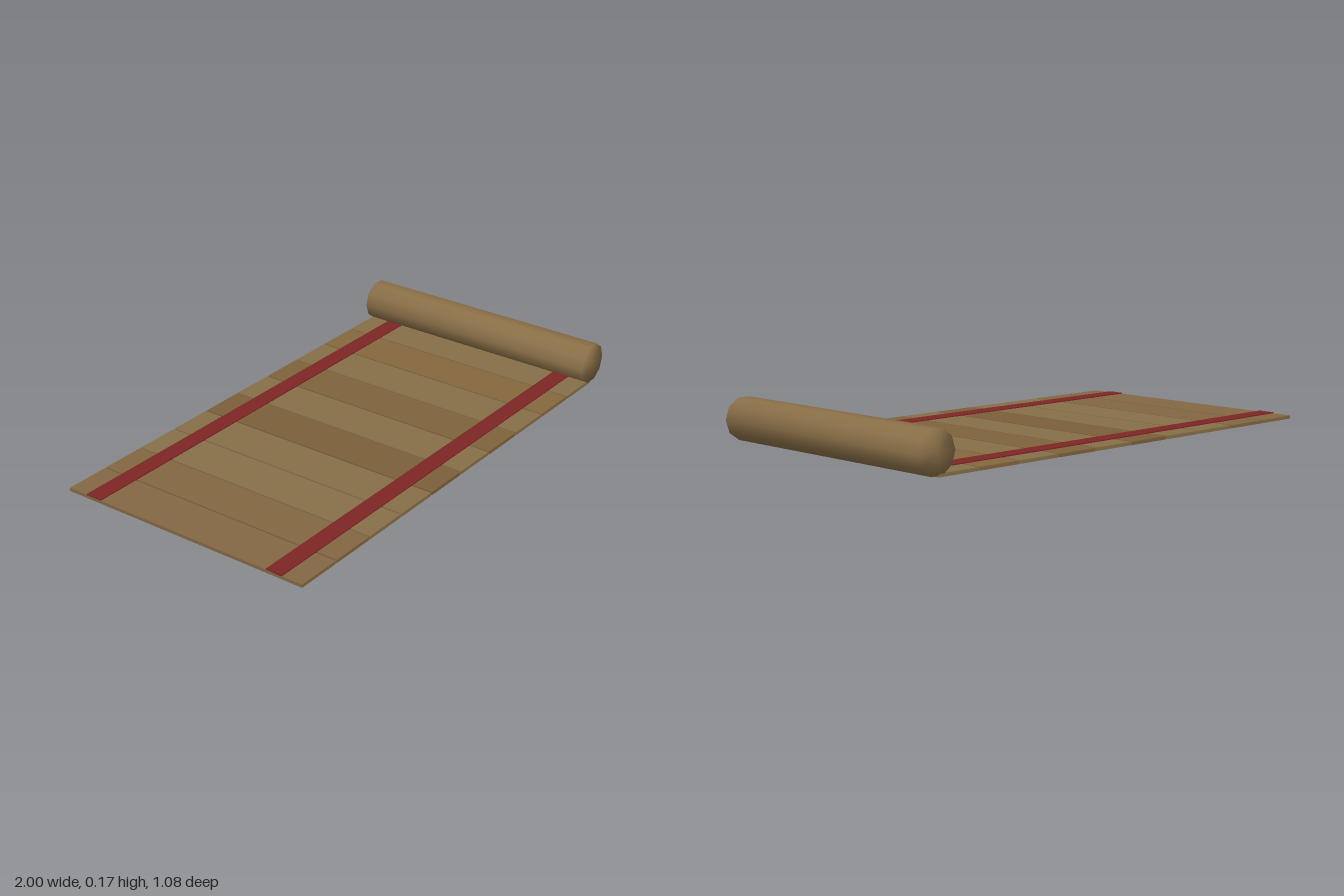
import * as THREE from 'three';
import { mergeVertices } from 'three/addons/utils/BufferGeometryUtils.js';

const DEPTH = 1.08;
const PITCH = 0.1915;
const SLAT_WIDTH = 0.185;

function paint(color) {
  return new THREE.MeshStandardMaterial({ color });
}

function addBox(parent, name, size, position, material) {
  const mesh = new THREE.Mesh(new THREE.BoxGeometry(...size), material);
  mesh.position.set(...position);
  mesh.name = name;
  parent.add(mesh);
}

export function createModel() {
  const model = new THREE.Group();
  model.name = 'slatScroll';

  // Flat slats with narrow gaps, in slightly varied wood tones
  const slats = new THREE.Group();
  slats.name = 'slats';
  const tones = [0x846844, 0x826641, 0x867049, 0x866f48, 0x7b5f39,
    0x866f48, 0x7f623c, 0x866f48, 0x84673f, 0x866f48];
  tones.forEach((tone, i) => {
    const x = -1 + i * PITCH + SLAT_WIDTH / 2;
    addBox(slats, `slat${i + 1}`, [SLAT_WIDTH, 0.013, DEPTH], [x, 0.0065, 0], paint(tone));
  });
  model.add(slats);

  // Two red binding straps running under the roll
  const red = paint(0x7d2525);
  for (const side of [-1, 1]) {
    addBox(model, side > 0 ? 'frontStrap' : 'backStrap',
      [1.91, 0.006, 0.07], [-0.045, 0.014, side * 0.419], red);
  }

  // Ten-sided roll, smoothed across its rims
  let rollGeometry = new THREE.CylinderGeometry(0.084, 0.084, DEPTH, 10, 1, false, Math.PI / 2);
  rollGeometry.deleteAttribute('normal');
  rollGeometry.deleteAttribute('uv');
  rollGeometry = mergeVertices(rollGeometry, 1e-4);
  rollGeometry.computeVertexNormals();
  rollGeometry.rotateX(Math.PI / 2);
  const roll = new THREE.Mesh(rollGeometry, paint(0x8b7048));
  roll.name = 'roll';
  roll.position.set(0.916, 0.086, 0);
  model.add(roll);

  return model;
}
